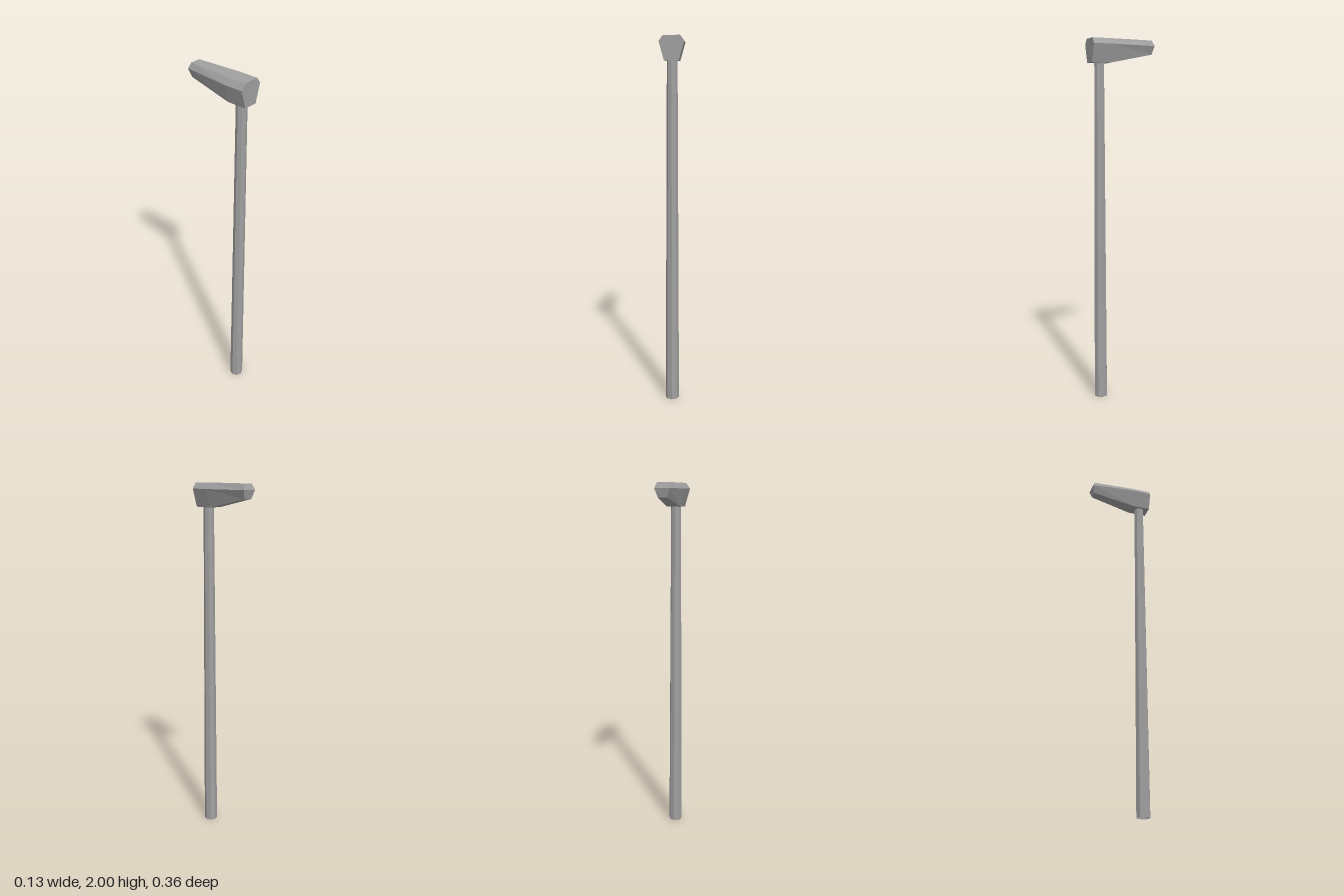
import * as THREE from 'three';

// Hexagonal ring, counterclockwise seen from +z; the middle pair may be pushed out along z
function ring(z, top, mid, bottom, bottomY, midZ = z) {
  return [
    [top, 2, z], [-top, 2, z], [-mid, 1.97, midZ],
    [-bottom, bottomY, z], [bottom, bottomY, z], [mid, 1.97, midZ],
  ];
}

function loft(rings) {
  const pos = [];
  const tri = (...corners) => corners.forEach((c) => pos.push(...c));
  for (let k = 0; k < rings.length - 1; k++) {
    const a = rings[k], b = rings[k + 1];
    for (let i = 0; i < 6; i++) {
      const j = (i + 1) % 6;
      tri(a[i], b[i], a[j]);
      tri(a[j], b[i], b[j]);
    }
  }
  // End caps, split along the middle edge
  const front = rings[0], back = rings[rings.length - 1];
  for (const [i, j, k] of [[0, 1, 2], [0, 2, 5], [5, 2, 3], [5, 3, 4]]) {
    tri(front[i], front[j], front[k]);
    tri(back[i], back[k], back[j]);
  }
  const geometry = new THREE.BufferGeometry();
  geometry.setAttribute('position', new THREE.Float32BufferAttribute(pos, 3));
  geometry.computeVertexNormals();
  return geometry;
}

export function createModel() {
  const group = new THREE.Group();
  group.name = 'streetLamp';

  const metal = new THREE.MeshStandardMaterial({ color: 0xa0a0a0, flatShading: true, side: THREE.DoubleSide });
  metal.name = 'grey metal';

  // Tapered pole, open at both ends
  const pole = new THREE.Mesh(new THREE.CylinderGeometry(0.028, 0.038, 1.88, 8, 1, true), metal);
  pole.name = 'pole';
  pole.position.set(0, 0.94, 0.128);
  group.add(pole);

  // Lamp head: straight over the pole, then tapering to the back
  const head = new THREE.Mesh(loft([
    ring(0.182, 0.044, 0.065, 0.038, 1.875),
    ring(0.075, 0.044, 0.065, 0.038, 1.875),
    ring(-0.17, 0.027, 0.04, 0.024, 1.925, -0.182),
  ]), metal);
  head.name = 'lampHead';
  group.add(head);

  return group;
}
